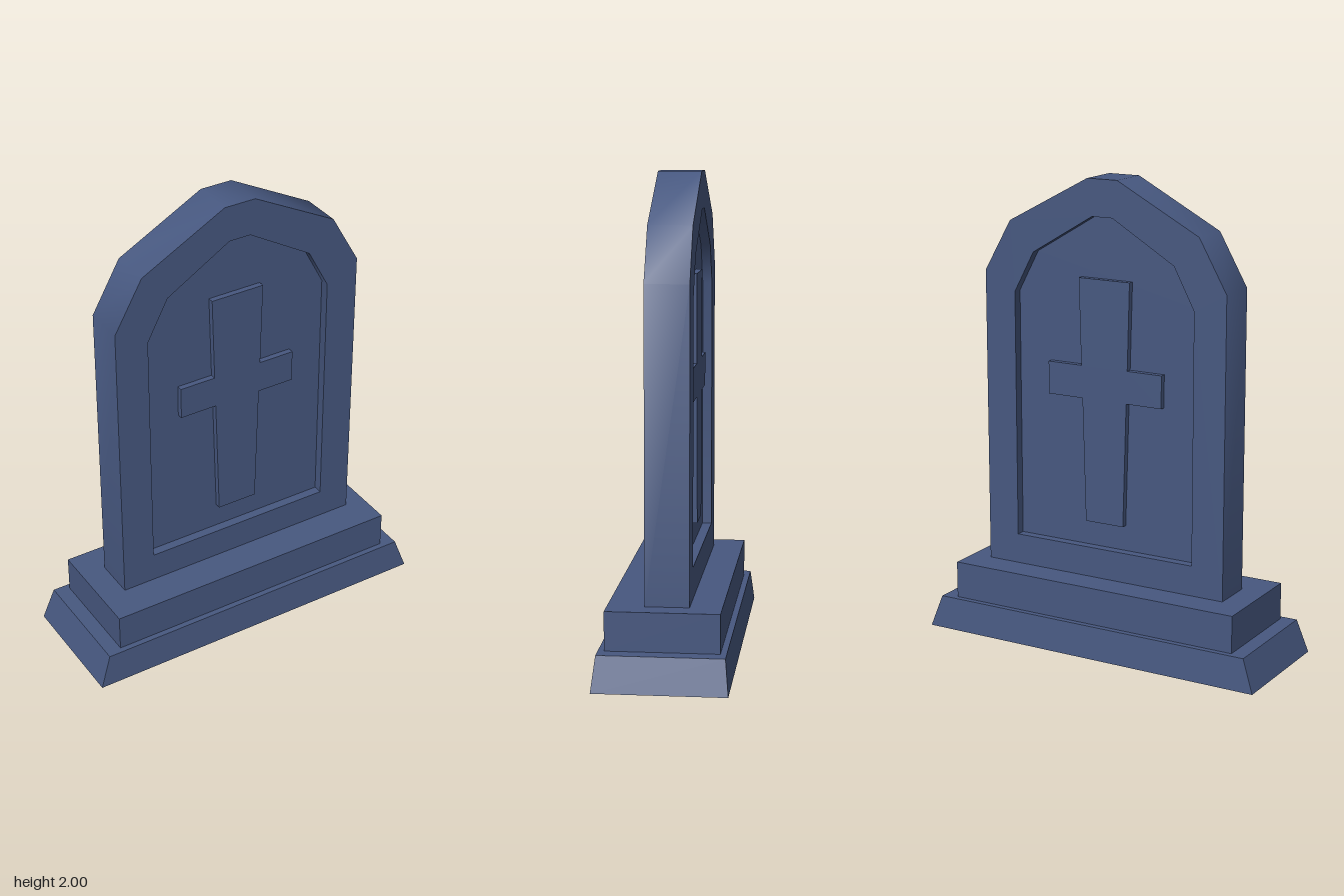
import * as THREE from 'three';
import { toCreasedNormals } from 'three/addons/utils/BufferGeometryUtils.js';

const CX = 0.01; // the slab stands slightly off the plinth centre
const CZ = -0.01;

// Closed outline mirrored about x = 0 from its right half, listed bottom to top
function mirrored(half) {
  const left = half.map(([x, y]) => [-x, y]).reverse();
  return [...half, ...left].map(([x, y]) => new THREE.Vector2(x, y));
}

// Extrusion centred in depth, smooth around shallow bends and sharp at corners
function slab(outline, depth, hole) {
  const shape = new THREE.Shape(outline);
  if (hole) shape.holes.push(new THREE.Path(hole));
  const geo = new THREE.ExtrudeGeometry(shape, { depth, bevelEnabled: false });
  geo.translate(CX, 0, CZ - depth / 2);
  return toCreasedNormals(geo, 0.8);
}

export function createModel() {
  const group = new THREE.Group();
  const stone = new THREE.MeshStandardMaterial({ color: 0x475880 });
  stone.name = 'slate stone';

  const add = (name, geo) => {
    const mesh = new THREE.Mesh(geo, stone);
    mesh.name = name;
    group.add(mesh);
  };

  // Bottom plinth, tapering towards its top
  const foot = new THREE.BoxGeometry(1.57, 0.14, 0.54).toNonIndexed();
  const pos = foot.attributes.position;
  for (let i = 0; i < pos.count; i++) {
    if (pos.getY(i) > 0) {
      pos.setX(i, Math.sign(pos.getX(i)) * 0.735);
      pos.setZ(i, Math.sign(pos.getZ(i)) * 0.255);
    }
  }
  foot.translate(0, 0.07, 0);
  foot.computeVertexNormals();
  add('bottomPlinth', foot);

  // Upper plinth step
  add('upperPlinth', new THREE.BoxGeometry(1.34, 0.16, 0.46).translate(0, 0.22, 0));

  // Headstone frame around a panel recessed on both faces
  const outer = mirrored([[0.57, 0.3], [0.57, 1.58], [0.445, 1.8], [0.07, 2]]);
  const inner = mirrored([[0.425, 0.43], [0.425, 1.5], [0.332, 1.675], [0.048, 1.845]]);
  add('headstoneFrame', slab(outer, 0.18, inner));
  add('recessedPanel', slab(inner, 0.1));

  // Cross standing proud of the panel on both faces
  const cross = mirrored([
    [0.09, 0.54], [0.105, 1.075], [0.27, 1.075],
    [0.27, 1.215], [0.11, 1.215], [0.12, 1.585],
  ]);
  add('raisedCross', slab(cross, 0.15));

  return group;
}
